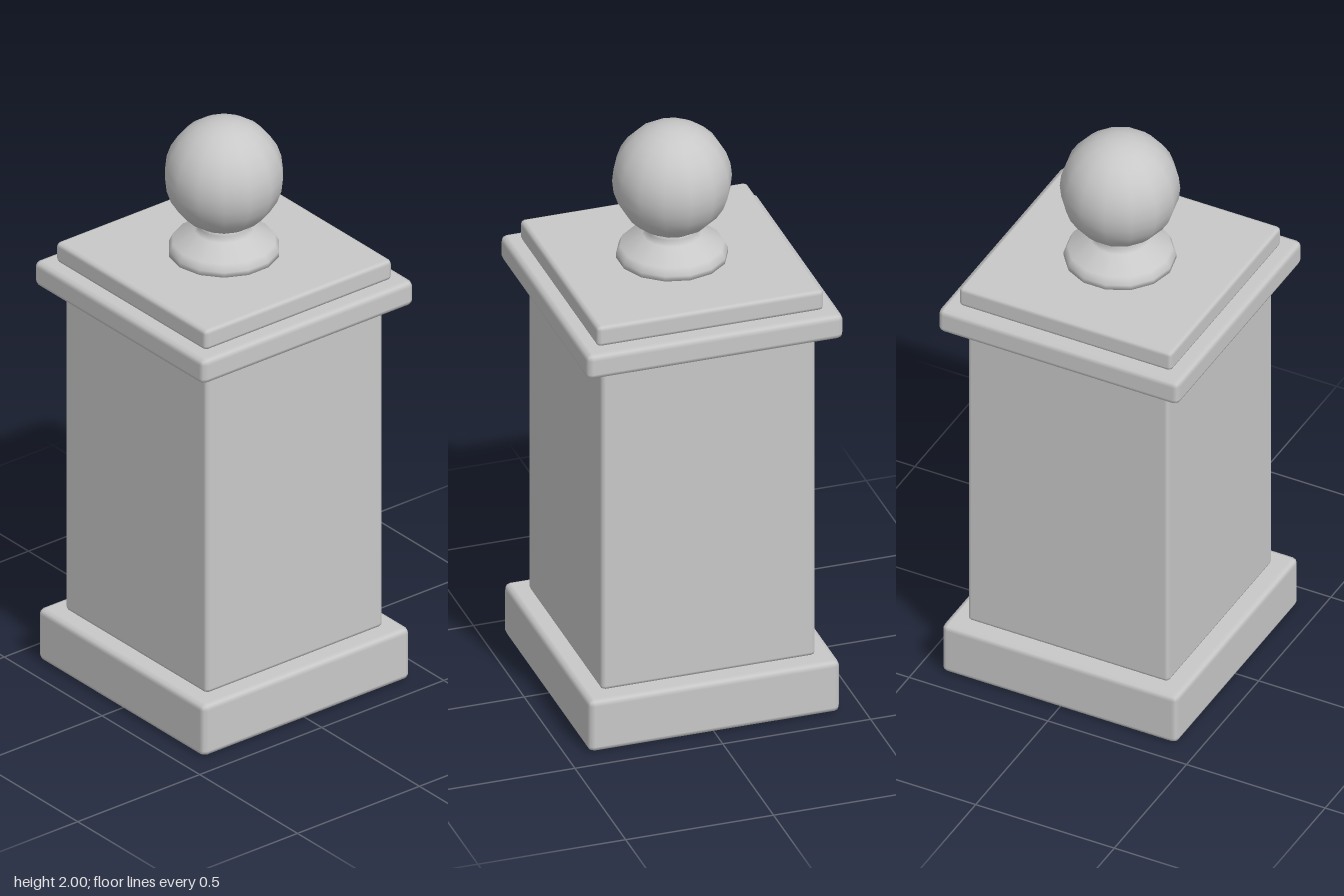
import * as THREE from 'three';
import { RoundedBoxGeometry } from 'three/addons/geometries/RoundedBoxGeometry.js';

export function createModel() {
  const group = new THREE.Group();
  const stone = new THREE.MeshStandardMaterial({ color: 0xc8c8c8 });
  stone.name = 'stone';

  const add = (name, geometry, y) => {
    const mesh = new THREE.Mesh(geometry, stone);
    mesh.name = name;
    mesh.position.y = y;
    group.add(mesh);
    return mesh;
  };

  // Square bevelled blocks: name, width, bottom, top, bevel
  const blocks = [
    ['plinth', 0.85, 0, 0.187, 0.02],
    ['shaft', 0.726, 0.185, 1.367, 0.015],
    ['lowerCap', 0.868, 1.365, 1.454, 0.02],
    ['upperCap', 0.768, 1.453, 1.526, 0.015],
  ];
  for (const [name, width, bottom, top, bevel] of blocks) {
    add(name, new RoundedBoxGeometry(width, top - bottom, width, 1, bevel), (bottom + top) / 2);
  }

  // Flared foot under the ball, closed at both ends
  const profile = [[0, 0], [0.18, 0], [0.18, 0.02], [0.168, 0.045], [0.095, 0.083], [0.083, 0.1], [0.088, 0.125], [0, 0.125]]
    .map(([r, y]) => new THREE.Vector2(r, y));
  add('finialFoot', new THREE.LatheGeometry(profile, 14), 1.523);

  // Ball finial, with a vertex column facing front
  const ball = add('finialBall', new THREE.SphereGeometry(0.193, 14, 14), 1.807);
  ball.rotation.y = Math.PI / 2;

  return group;
}
